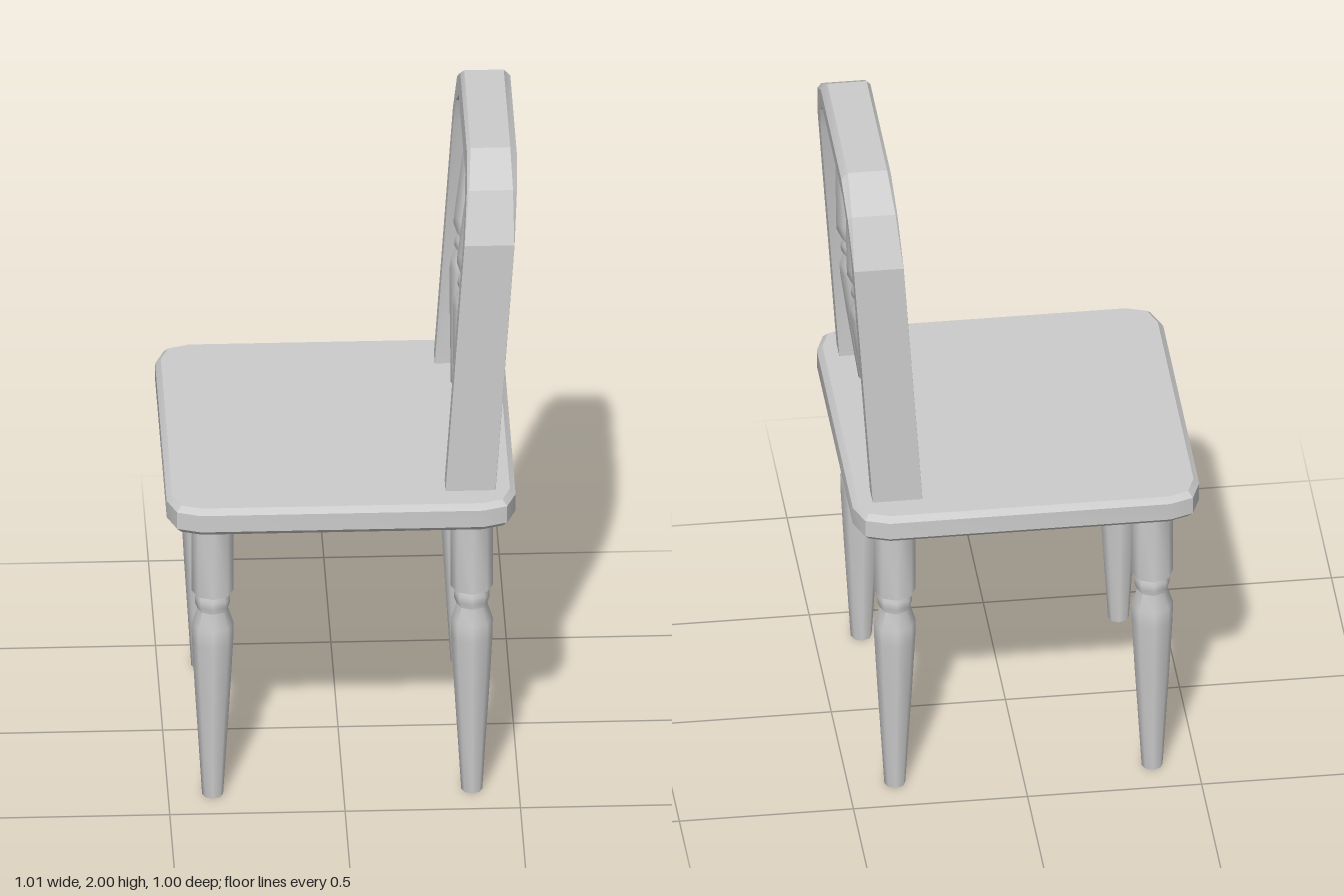
import * as THREE from 'three';
import { toCreasedNormals } from 'three/addons/utils/BufferGeometryUtils.js';

const material = new THREE.MeshStandardMaterial({ color: 0xcccccc });
const SEAT_TOP = 0.985;
const LEAN = 0.068; // backward slope of the back rest, x per y

function addMesh(parent, name, geometry, crease) {
  const mesh = new THREE.Mesh(toCreasedNormals(geometry, crease), material);
  mesh.name = name;
  parent.add(mesh);
  return mesh;
}

// Eight-sided turned part from [radius, height] pairs
function turned(profile) {
  return new THREE.LatheGeometry(profile.map(([r, y]) => new THREE.Vector2(r, y)), 8);
}

// Square slab with clipped corners and a chamfered rim
function seatGeometry() {
  const hx = 0.4975, hz = 0.501, bevel = 0.016;
  const corner = [[0, 0.095], [0.027, 0.024], [0.095, 0]];
  const points = [];
  for (const [sx, sz] of [[1, 1], [-1, 1], [-1, -1], [1, -1]]) {
    const list = sx * sz > 0 ? [...corner].reverse() : corner;
    const ordered = [...list].reverse();
    for (const [dx, dz] of ordered) points.push(new THREE.Vector2(sx * (hx - dx), sz * (hz - dz)));
  }
  const geometry = new THREE.ExtrudeGeometry(new THREE.Shape(points), {
    depth: 0.085 - 2 * bevel, bevelEnabled: true, bevelSegments: 1,
    bevelSize: bevel, bevelThickness: bevel, bevelOffset: -bevel,
  });
  geometry.rotateX(-Math.PI / 2);
  geometry.translate(-0.0075, SEAT_TOP - 0.085 + bevel, 0);
  return geometry;
}

// Leaning arch: a rectangular section with outer chamfers that fade into the posts
function archGeometry() {
  const half = [ // outer z, outer y, inner z, inner y, chamfer
    [0.41, 0.95, 0.345, 0.95, 0.001],
    [0.41, 1.78, 0.345, 1.775, 0.001],
    [0.347, 1.925, 0.31, 1.86, 0.012],
    [0.23, 2.0, 0.23, 1.92, 0.02],
  ];
  const stations = [
    ...half.map(([oz, oy, iz, iy, c]) => [-oz, oy, -iz, iy, c]),
    ...[...half].reverse(),
  ];
  const front = 0.29, back = 0.433;
  const position = [], index = [];
  for (const [oz, oy, iz, iy, c] of stations) {
    const t = c / Math.hypot(oz - iz, oy - iy);
    const section = [ // x, distance from outer edge towards inner edge
      [front, 1], [back, 1], [back, t], [back - c, 0], [front + c * 0.5, 0], [front, t * 0.6],
    ];
    for (const [x, k] of section) {
      const y = oy + (iy - oy) * k;
      position.push(x + LEAN * (y - SEAT_TOP), y, oz + (iz - oz) * k);
    }
  }
  for (let i = 0; i < stations.length - 1; i++) {
    for (let j = 0; j < 6; j++) {
      const a = i * 6 + j, b = i * 6 + (j + 1) % 6;
      index.push(a, b, b + 6, a, b + 6, a + 6);
    }
  }
  const geometry = new THREE.BufferGeometry();
  geometry.setAttribute('position', new THREE.Float32BufferAttribute(position, 3));
  geometry.setIndex(index);
  return geometry;
}

export function createModel() {
  const chair = new THREE.Group();
  chair.name = 'chair';

  addMesh(chair, 'seat', seatGeometry(), 0.4);

  // Four turned legs
  const leg = turned([
    [0, 0], [0.03, 0], [0.05, 0.33], [0.059, 0.5], [0.06, 0.555], [0.044, 0.605],
    [0.05, 0.622], [0.05, 0.642], [0.044, 0.66], [0.06, 0.662], [0.06, 0.91],
  ]);
  for (const x of [-0.373, 0.366]) {
    for (const z of [-0.38, 0.38]) {
      addMesh(chair, x > 0 ? 'backLeg' : 'frontLeg', leg, 0.9).position.set(x, 0, z);
    }
  }

  // Back rest: arch and three leaning spindles
  const backRest = new THREE.Group();
  backRest.name = 'backRest';
  chair.add(backRest);
  addMesh(backRest, 'arch', archGeometry(), 0.4);
  const spindle = turned([
    [0.029, -0.02], [0.05, 0.24], [0.059, 0.37], [0.058, 0.4], [0.045, 0.43],
    [0.051, 0.445], [0.051, 0.465], [0.045, 0.48], [0.058, 0.515], [0.058, 0.54],
    [0.05, 0.69], [0.033, 0.95],
  ]);
  for (const z of [-0.235, 0, 0.235]) {
    const mesh = addMesh(backRest, 'spindle', spindle, 0.9);
    mesh.position.set(0.3615, SEAT_TOP, z);
    mesh.rotation.z = -Math.atan(LEAN);
  }
  return chair;
}
